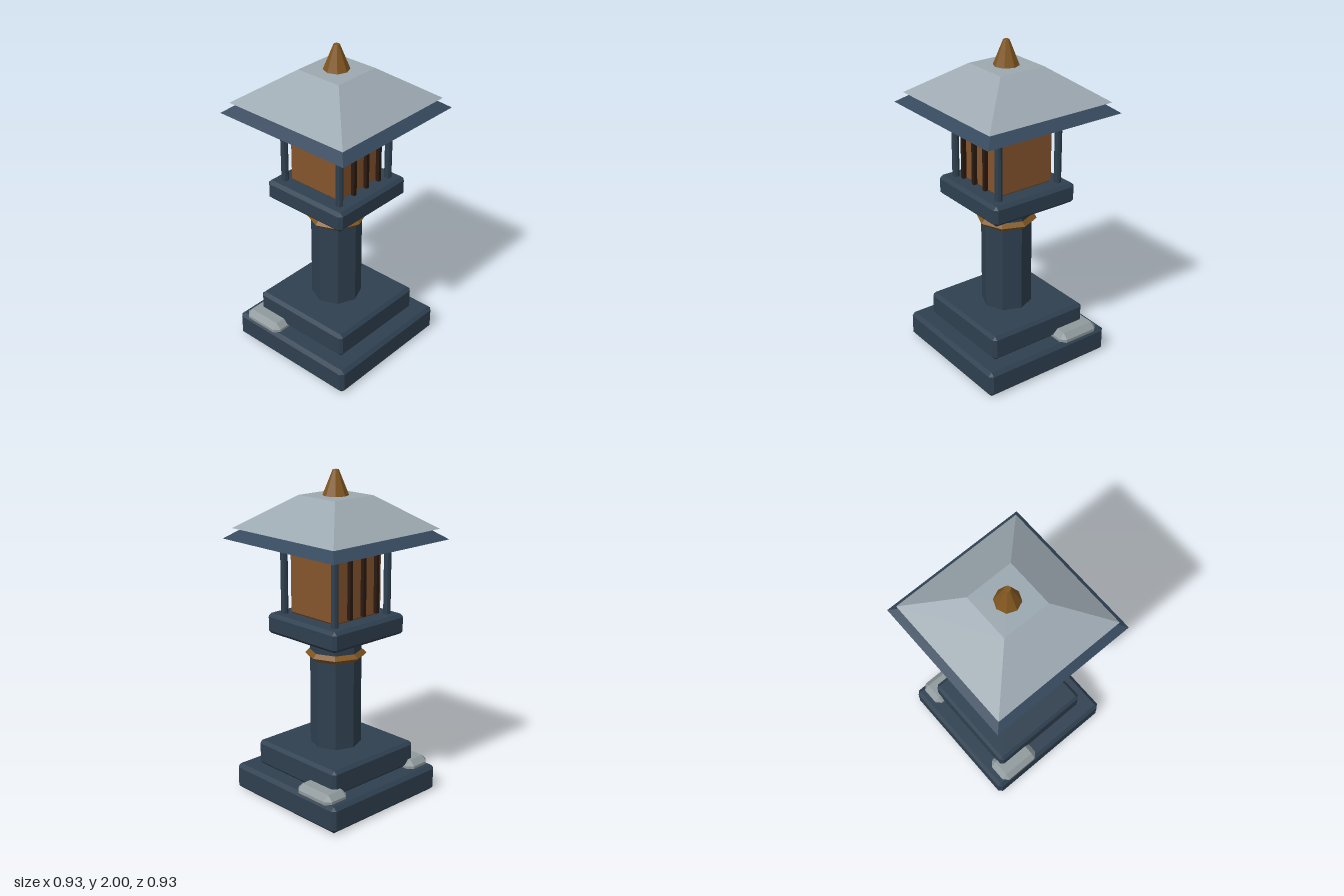
import * as THREE from 'three';
import { ConvexGeometry } from 'three/addons/geometries/ConvexGeometry.js';

const paint = (color) => new THREE.MeshStandardMaterial({ color, flatShading: true });
const slate = paint(0x2f4050);
const eaveBlue = paint(0x35485c);
const tile = paint(0x9ca8b0);
const bronze = paint(0x80561f);
const amber = paint(0x85552d);
const darkWood = paint(0x2a1a10);
const stone = paint(0x8f999c);

// Box with every edge cut by a chamfer c
function chamferBox(w, h, d, c) {
  const half = [w / 2, h / 2, d / 2];
  const points = [];
  for (const sx of [-1, 1]) for (const sy of [-1, 1]) for (const sz of [-1, 1]) {
    const s = [sx, sy, sz];
    for (let face = 0; face < 3; face++) {
      points.push(new THREE.Vector3(...half.map((v, i) => s[i] * (i === face ? v : v - c))));
    }
  }
  return new ConvexGeometry(points);
}

// Square frustum given by its half widths at bottom and top
function frustum(bottom, top, h) {
  const g = new THREE.CylinderGeometry(top * Math.SQRT2, bottom * Math.SQRT2, h, 4);
  return g.rotateY(Math.PI / 4);
}

export function createModel() {
  const model = new THREE.Group();
  model.name = 'stoneLantern';

  const add = (name, geometry, material, x, y, z) => {
    const mesh = new THREE.Mesh(geometry, material);
    mesh.name = name;
    mesh.position.set(x, y, z);
    model.add(mesh);
    return mesh;
  };
  // Places a part by the heights of its bottom and top
  const block = (name, w, y0, y1, c, material) =>
    add(name, chamferBox(w, y1 - y0, w, c), material, 0, (y0 + y1) / 2, 0);

  // Stepped base
  block('lowerBase', 0.88, 0, 0.165, 0.022, slate);
  block('upperBase', 0.68, 0.165, 0.325, 0.02, slate);

  // Loose stones on the lower step
  for (const side of [-1, 1]) {
    add('baseStone', chamferBox(0.175, 0.085, 0.285, 0.033), stone, side * 0.35, 0.172, -0.248);
  }

  // Octagonal column with its collar
  add('column', new THREE.CylinderGeometry(0.155, 0.155, 0.72, 8), slate, 0, 0.67, 0);
  add('collar', new THREE.TorusGeometry(0.16, 0.025, 4, 8).rotateX(Math.PI / 2), bronze, 0, 0.9, 0);

  // Lamp house
  block('platform', 0.585, 1.02, 1.145, 0.02, slate);
  block('lampBox', 0.385, 1.145, 1.572, 0.012, amber);
  for (const x of [-1, 1]) for (const z of [-1, 1]) {
    add('cornerPost', new THREE.CylinderGeometry(0.022, 0.022, 0.46, 8), slate, x * 0.215, 1.37, z * 0.215);
  }
  for (const z of [-1, 1]) for (const x of [-0.108, 0, 0.108]) {
    add('windowSlat', new THREE.BoxGeometry(0.022, 0.39, 0.024), darkWood, x, 1.368, z * 0.23);
  }

  // Two-layer roof and finial
  add('eave', frustum(0.467, 0.375, 0.068), eaveBlue, 0, 1.629, 0);
  add('roof', frustum(0.428, 0.152, 0.195), tile, 0, 1.7545, 0);
  add('finial', new THREE.CylinderGeometry(0.018, 0.078, 0.15, 8), bronze, 0, 1.925, 0);

  return model;
}
